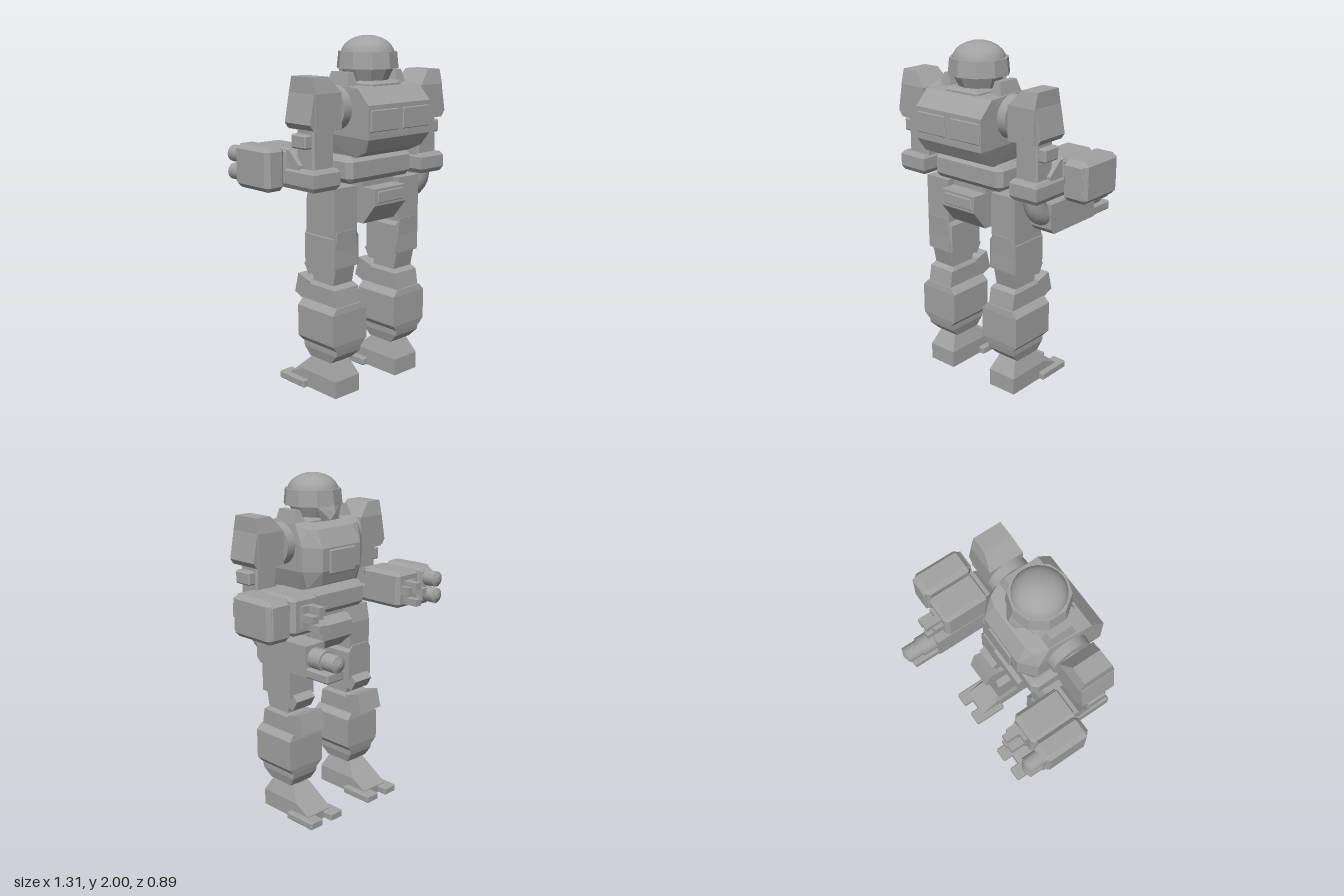
import * as THREE from 'three';
import { ConvexGeometry } from 'three/addons/geometries/ConvexGeometry.js';

const V = (x, y, z) => new THREE.Vector3(x, y, z);

export function createModel() {
  const model = new THREE.Group();
  model.name = 'walkingRobot';
  const grey = new THREE.MeshStandardMaterial({ color: 0xa2a2a2 });
  grey.name = 'plainGrey';
  const body = new THREE.Group();
  body.name = 'body';
  body.position.x = -0.022;
  model.add(body);
  let side = 1; // mirrors x for paired parts

  const add = (name, geo) => {
    const mesh = new THREE.Mesh(geo, grey);
    mesh.name = name;
    body.add(mesh);
    return mesh;
  };
  // Faceted convex solid through the given points
  const hull = (name, pts) => add(name, new ConvexGeometry(pts.map(p => V(p.x * side, p.y, p.z))));
  // Box by its limits, with chamfered edges
  const box = (name, x0, x1, y0, y1, z0, z1, c = 0) => {
    const pts = [];
    for (const [x, a] of [[x0, c], [x1, -c]])
      for (const [y, b] of [[y0, c], [y1, -c]])
        for (const [z, d] of [[z0, c], [z1, -c]])
          pts.push(...(c ? [V(x, y + b, z + d), V(x + a, y, z + d), V(x + a, y + b, z)] : [V(x, y, z)]));
    return hull(name, pts);
  };
  // Solid from rectangles [y, x0, x1, z0, z1]
  const stack = (name, rows) => hull(name, rows.flatMap(([y, x0, x1, z0, z1]) =>
    [V(x0, y, z0), V(x1, y, z0), V(x0, y, z1), V(x1, y, z1)]));
  // Side profile [z, y] carried across x
  const slab = (name, x0, x1, profile) => hull(name, profile.flatMap(([z, y]) => [V(x0, y, z), V(x1, y, z)]));
  // Cylinder along x or z
  const rod = (name, axis, r, len, x, y, z, r2 = r, n = 16) => {
    const g = new THREE.CylinderGeometry(r2, r, len, n);
    if (axis === 'x') g.rotateZ(Math.PI / 2);
    else g.rotateX(-Math.PI / 2);
    add(name, g).position.set(x * side, y, z);
  };

  // Head: dome, brow band, tapered jaw and pointed face
  const domePts = [];
  for (let i = 0; i <= 6; i++) {
    const a = (i / 6) * Math.PI / 2;
    domePts.push(new THREE.Vector2(0.147 * Math.cos(a), 0.1 * Math.sin(a)));
  }
  add('headDome', new THREE.LatheGeometry(domePts, 24)).position.set(0, 1.9, 0.19);
  const tenSided = (name, rTop, rBottom, h, y) => {
    const g = new THREE.CylinderGeometry(rTop, rBottom, h, 10).toNonIndexed();
    g.computeVertexNormals();
    add(name, g).position.set(0, y, 0.19);
  };
  tenSided('browBand', 0.163, 0.172, 0.09, 1.868);
  tenSided('headLower', 0.15, 0.09, 0.13, 1.77);
  hull('faceMask', [V(-0.1, 1.83, 0.06), V(0.1, 1.83, 0.06), V(0, 1.84, 0.02), V(-0.055, 1.74, 0.06),
    V(0.055, 1.74, 0.06), V(-0.03, 1.75, 0.015), V(0.03, 1.75, 0.015), V(0, 1.79, 0.005)]);

  // Torso: broad back, chamfered front
  const torso = [];
  for (const s of [-1, 1]) {
    for (const [z, y, x] of [[0.355, 1.735, 0.237], [0.44, 1.65, 0.237], [0.44, 1.47, 0.237], [0.4, 1.4, 0.215],
      [0.31, 1.36, 0.205], [0.1, 1.36, 0.2], [0.03, 1.38, 0.2], [0.1, 1.745, 0.225], [0.03, 1.715, 0.2],
      [0.03, 1.62, 0.237], [0.03, 1.48, 0.237], [-0.02, 1.4, 0.13], [-0.045, 1.48, 0.15],
      [-0.045, 1.61, 0.15], [0.01, 1.71, 0.14]])
      torso.push(V(s * x, y, z));
  }
  hull('torso', torso);
  box('chestPanel', -0.1, 0.1, 1.46, 1.6, -0.057, -0.04, 0.006);
  box('collar', -0.12, 0.12, 1.68, 1.76, 0.08, 0.34, 0.015);
  box('waist', -0.25, 0.25, 1.215, 1.365, 0.0, 0.31, 0.03);
  box('waistJoint', -0.12, 0.12, 1.15, 1.23, 0.06, 0.28);

  // Pelvis
  slab('pelvis', -0.122, 0.122, [[0.375, 1.185], [0.375, 1.09], [0.285, 0.98], [0.09, 0.975],
    [-0.01, 1.06], [-0.01, 1.15], [0.03, 1.185]]);
  box('pelvisPanel', -0.1, 0.1, 1.105, 1.17, 0.37, 0.381, 0.004);
  rod('hipAxle', 'x', 0.06, 0.42, 0, 1.09, 0.16);

  for (side of [1, -1]) {
    box('backPanel', 0.02, 0.225, 1.51, 1.625, 0.435, 0.447, 0.004);
    stack('collarVent', [[1.72, 0.145, 0.225, 0.09, 0.27], [1.81, 0.165, 0.205, 0.12, 0.25]]);

    // Leg
    box('hipBlock', 0.115, 0.17, 0.99, 1.17, 0.08, 0.25, 0.02);
    slab('thigh', 0.165, 0.332, [[0.28, 1.2], [0.07, 1.2], [0.05, 1.1], [0.05, 0.76], [0.28, 0.76]]);
    stack('thighPlate', [[0.96, 0.18, 0.315, 0.04, 0.285], [0.92, 0.147, 0.335, 0.04, 0.275],
      [0.75, 0.147, 0.335, 0.04, 0.275]]);
    stack('kneeJoint', [[0.76, 0.17, 0.312, 0.06, 0.27], [0.62, 0.17, 0.312, 0.09, 0.24]]);
    slab('upperKneeGuard', 0.17, 0.312, [[0.05, 0.78], [0.005, 0.735], [0.04, 0.675], [0.09, 0.69]]);
    stack('shinTop', [[0.65, 0.165, 0.315, 0.06, 0.25], [0.63, 0.152, 0.328, 0.04, 0.275],
      [0.52, 0.152, 0.328, 0.015, 0.295]]);
    slab('kneeGuard', 0.152, 0.328, [[0.07, 0.64], [-0.03, 0.67], [-0.06, 0.555], [0.03, 0.52]]);
    stack('calf', [[0.535, 0.145, 0.335, 0.015, 0.3], [0.5, 0.112, 0.366, 0.01, 0.305],
      [0.32, 0.112, 0.366, 0.01, 0.305], [0.285, 0.145, 0.335, 0.015, 0.3]]);
    stack('calfTaper', [[0.3, 0.147, 0.332, 0.015, 0.3], [0.25, 0.147, 0.332, 0.025, 0.29],
      [0.195, 0.16, 0.32, 0.06, 0.235]]);
    box('ankle', 0.205, 0.273, 0.14, 0.25, 0.06, 0.23, 0.01);

    // Foot with two toes
    stack('foot', [[0.19, 0.18, 0.3, 0.06, 0.235], [0.16, 0.175, 0.305, 0.04, 0.245],
      [0.1, 0.148, 0.332, 0.0, 0.285], [0.05, 0.148, 0.332, -0.1, 0.285], [0, 0.148, 0.332, -0.1, 0.285]]);
    for (const [x0, x1] of [[0.112, 0.205], [0.273, 0.366]])
      box('toe', x0, x1, 0, 0.045, -0.165, 0.05, 0.006);

    // Shoulder
    rod('shoulderDisc', 'x', 0.12, 0.055, 0.268, 1.625, 0.2, 0.12, 24);
    rod('shoulderAxle', 'x', 0.075, 0.14, 0.31, 1.625, 0.2);
    stack('shoulder', [[1.8, 0.385, 0.487, 0.12, 0.29], [1.715, 0.308, 0.487, 0.1, 0.312],
      [1.525, 0.308, 0.487, 0.1, 0.312]]);
    stack('shoulderPlate', [[1.715, 0.48, 0.492, 0.105, 0.305], [1.56, 0.48, 0.522, 0.105, 0.305],
      [1.53, 0.48, 0.5, 0.105, 0.305]]);

    // Arm
    box('upperArm', 0.328, 0.475, 1.28, 1.54, 0.14, 0.275, 0.01);
    box('elbowKnob', 0.47, 0.522, 1.43, 1.505, 0.15, 0.265, 0.008);
    stack('elbow', [[1.32, 0.335, 0.495, 0.05, 0.3], [1.3, 0.32, 0.508, 0.05, 0.315],
      [1.23, 0.32, 0.508, 0.05, 0.315], [1.205, 0.335, 0.495, 0.05, 0.3]]);
    slab('elbowBrace', 0.33, 0.5, [[0.19, 1.31], [0.19, 1.335], [0.11, 1.41], [0.04, 1.41], [0.04, 1.31]]);
    box('forearm', 0.32, 0.51, 1.205, 1.42, -0.19, 0.1, 0.022);

    // Gripping fingers
    box('handBase', 0.37, 0.46, 1.25, 1.37, -0.21, -0.18);
    box('thumb', 0.345, 0.375, 1.29, 1.34, -0.25, -0.18);
    for (const [x, y] of [[0.39, 1.35], [0.44, 1.31], [0.39, 1.25]])
      box('finger', x - 0.022, x + 0.022, y - 0.02, y + 0.02, -0.29, -0.2);
  }

  // Boxed pack on the left forearm
  side = 1;
  box('packLink', 0.49, 0.54, 1.24, 1.38, -0.14, 0.06);
  box('armPack', 0.515, 0.672, 1.19, 1.425, -0.187, 0.115, 0.025);
  box('packRearCover', 0.535, 0.655, 1.215, 1.4, 0.11, 0.123, 0.005);
  box('packFrontCover', 0.535, 0.655, 1.215, 1.4, -0.196, -0.18, 0.005);

  // Gun slung below the left forearm
  slab('gunBody', 0.34, 0.478, [[0.15, 1.165], [-0.25, 1.165], [-0.25, 0.99], [0.12, 0.99], [0.15, 1.02]]);
  box('gunLedge', 0.345, 0.475, 0.99, 1.045, -0.41, -0.24, 0.008);
  rod('gunBarrelSleeve', 'z', 0.058, 0.1, 0.41, 1.09, -0.29);
  rod('gunBarrel', 'z', 0.048, 0.1, 0.41, 1.09, -0.38);
  rod('gunMuzzle', 'z', 0.048, 0.015, 0.41, 1.09, -0.436, 0.012);
  const feed = new THREE.QuadraticBezierCurve3(V(0.41, 1.23, 0.215), V(0.41, 1.09, 0.215), V(0.41, 1.09, 0.1));
  add('gunFeed', new THREE.TubeGeometry(feed, 8, 0.062, 14));

  // Twin barrel launcher on the right forearm
  side = -1;
  box('launcher', 0.505, 0.635, 1.19, 1.43, -0.19, 0.09, 0.025);
  box('launcherCover', 0.525, 0.62, 1.215, 1.405, -0.2, -0.18, 0.006);
  for (const y of [1.36, 1.26]) {
    rod('launcherBarrel', 'z', 0.046, 0.08, 0.573, y, -0.235);
    rod('launcherTip', 'z', 0.046, 0.014, 0.573, y, -0.282, 0.015);
  }
  return model;
}
